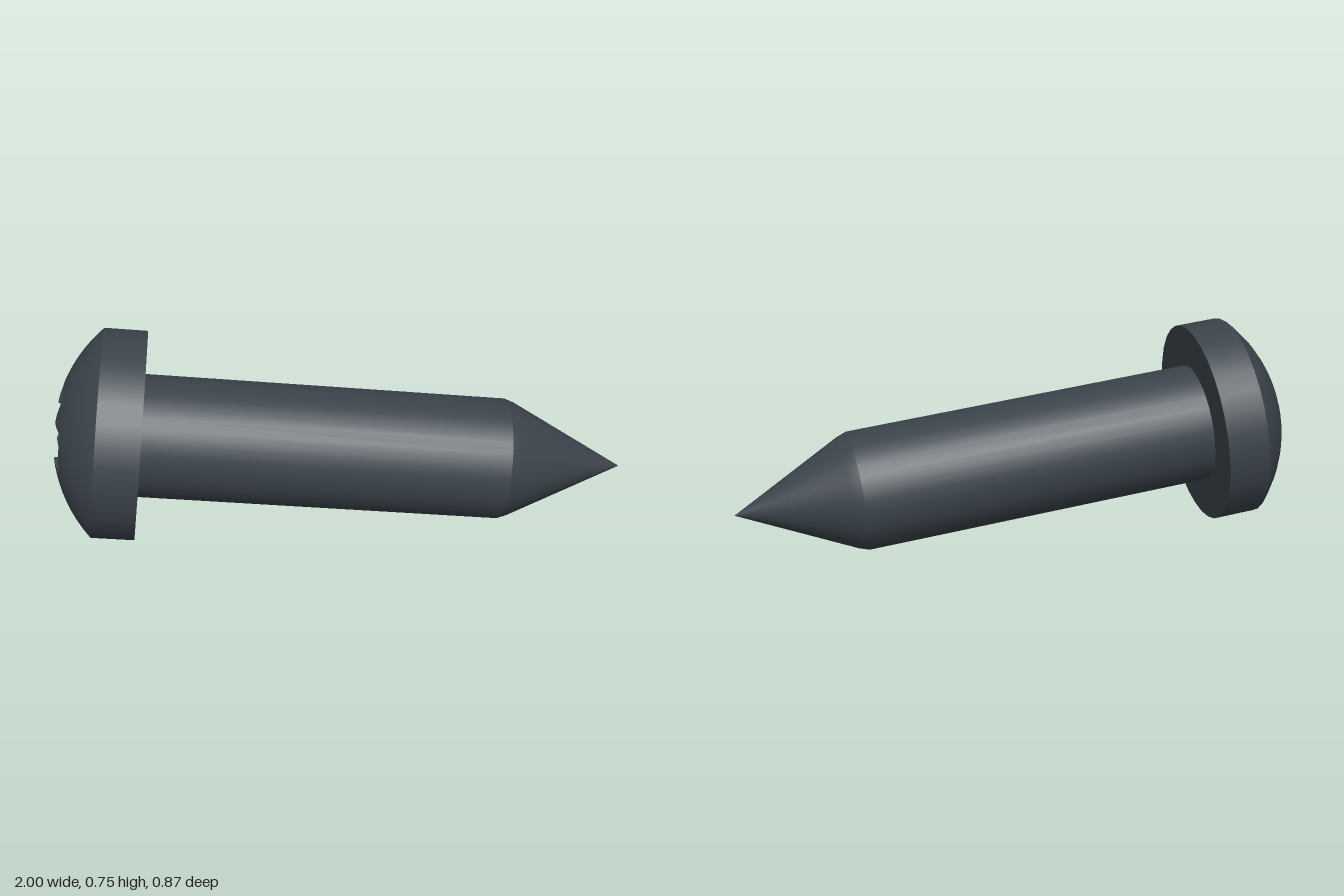
import * as THREE from 'three';

const SIDES = 32;
const SHAFT_R = 0.218, CONE_LEN = 0.437;
const HEAD_R = 0.37, HEAD_BASE = 1.739, RIM_H = 0.152, DOME_H = 0.155;
const RIM_TOP = HEAD_BASE + RIM_H;
const DOME_RADIUS = (HEAD_R ** 2 + DOME_H ** 2) / (2 * DOME_H);
const DOME_CENTRE = RIM_TOP + DOME_H - DOME_RADIUS;

// Distance from the axis to a cross outline with the given arm length and half width
function crossRadius(angle, length, halfWidth) {
  const quarter = Math.PI / 2;
  const a = Math.abs(angle - Math.round(angle / quarter) * quarter);
  return Math.min(length / Math.cos(a), a > 0.01 ? halfWidth / Math.sin(a) : Infinity);
}
const mouthRadius = (angle) => crossRadius(angle, 0.17, 0.0704);
const domeHeight = (r) => DOME_CENTRE + Math.sqrt(DOME_RADIUS ** 2 - r * r);

// Lathe whose rows are placed by rule(row, angle) -> [radius, height]
function ruledLathe(rows, rule) {
  const points = Array.from({ length: rows }, (_, i) => new THREE.Vector2(1, i));
  const geo = new THREE.LatheGeometry(points, SIDES);
  const pos = geo.attributes.position;
  for (let i = 0; i < pos.count; i++) {
    const angle = (Math.floor(i / rows) / SIDES) * Math.PI * 2;
    const [r, y] = rule(i % rows, angle);
    pos.setXYZ(i, r * Math.sin(angle), y, r * Math.cos(angle));
  }
  return geo;
}

export function createModel() {
  const model = new THREE.Group();
  model.name = 'screw';
  const steel = new THREE.MeshStandardMaterial({ color: 0x3b434b });
  steel.name = 'dark steel';
  const add = (name, geo) => {
    const mesh = new THREE.Mesh(geo, steel);
    mesh.name = name;
    model.add(mesh);
    return mesh;
  };

  // Pointed end and straight shaft, with the tip at the local origin
  const slope = SHAFT_R / CONE_LEN;
  add('tip', new THREE.LatheGeometry([
    new THREE.Vector2(0, 0),
    new THREE.Vector2(slope * 0.2, 0.2),
    new THREE.Vector2(slope * 0.41, 0.41),
    new THREE.Vector2(SHAFT_R, CONE_LEN + 0.01),
  ], SIDES));
  const shaftStart = CONE_LEN + 0.01;
  const shaftLen = HEAD_BASE - shaftStart;
  add('shaft', new THREE.CylinderGeometry(SHAFT_R, SHAFT_R, shaftLen, SIDES, 1, true))
    .position.y = shaftStart + shaftLen / 2;

  // Flat-bottomed head disc
  add('headRim', new THREE.CylinderGeometry(HEAD_R, HEAD_R, RIM_H, SIDES))
    .position.y = HEAD_BASE + RIM_H / 2;

  // Domed head running in to the edge of the cross recess
  const rows = 9;
  const dome = ruledLathe(rows, (row, angle) => {
    const r = THREE.MathUtils.lerp(HEAD_R, mouthRadius(angle), row / (rows - 1));
    return [r, domeHeight(r)];
  });
  const p = dome.attributes.position;
  const n = new THREE.Vector3();
  for (let i = 0; i < p.count; i++) {
    n.set(p.getX(i), p.getY(i) - DOME_CENTRE, p.getZ(i)).normalize();
    dome.attributes.normal.setXYZ(i, n.x, n.y, n.z);
  }
  add('headDome', dome);

  // Cross recess: tapered walls, flat arms and a slightly sunken middle
  const floor = RIM_TOP + DOME_H - 0.11;
  const recess = ruledLathe(4, (row, angle) => {
    const mouth = mouthRadius(angle);
    if (row === 0) return [mouth, domeHeight(mouth)];
    if (row === 1) return [crossRadius(angle, 0.13, 0.0538), floor];
    return row === 2 ? [0.05, floor] : [0, floor - 0.03];
  }).toNonIndexed();
  recess.computeVertexNormals();
  add('crossRecess', recess);

  // Lay the screw down: local +y runs from the tip back to the head
  const back = new THREE.Vector3(-1, 0.12, -0.211).normalize();
  const up = new THREE.Vector3(0, 1, 0).addScaledVector(back, -back.y).normalize();
  const side = new THREE.Vector3().crossVectors(back, up);
  model.quaternion.setFromRotationMatrix(new THREE.Matrix4().makeBasis(side, back, up));
  model.position.set(1, 0.169, 0.312);

  const root = new THREE.Group();
  root.name = 'model';
  root.add(model);
  return root;
}
